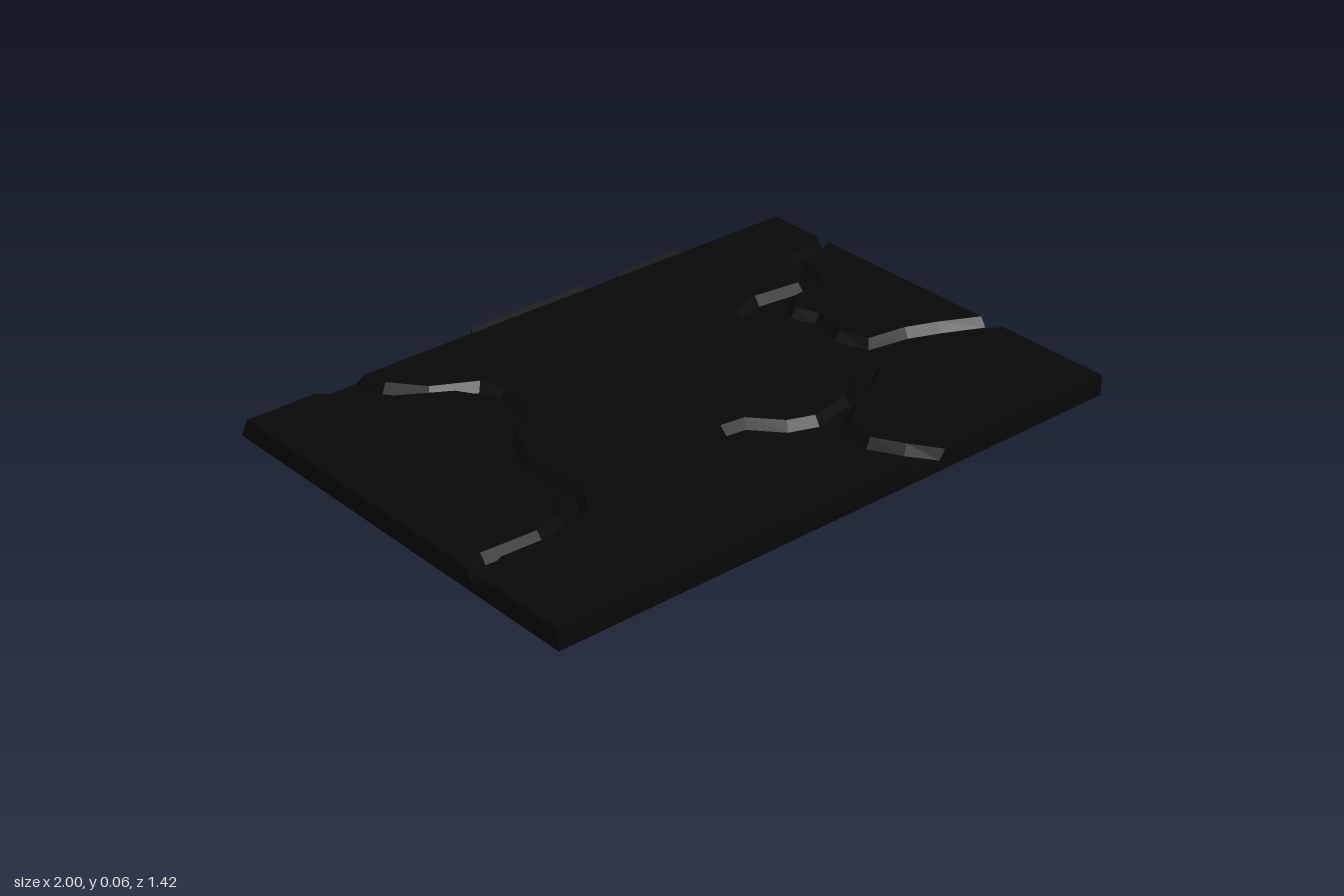
import * as THREE from 'three';

const W = 1, D = 0.71, FLOOR = 0.035, TOP = 0.065, BEVEL = 0.035, SLOPE = 0.02;
const material = new THREE.MeshStandardMaterial({ color: 0x080808, flatShading: true });

// Cliff lines as [x, z] points
const westCliff = [[-0.77, -D], [-0.64, -0.54], [-0.46, -0.43], [-0.41, -0.35], [-0.42, -0.26],
  [-0.55, -0.18], [-0.59, 0], [-0.6, 0.2], [-0.66, 0.28], [-0.75, 0.31], [-0.93, 0.3], [-W, 0.33]];
const centreWestCliff = [[-0.6, -D], [-0.58, -0.6], [-0.5, -0.5], [-0.37, -0.43], [-0.34, -0.35],
  [-0.35, -0.22], [-0.48, -0.12], [-0.53, 0], [-0.52, 0.22], [-0.58, 0.31], [-0.68, 0.36], [-0.9, 0.35], [-W, 0.4]];
const centreEastCliff = [[0.22, D], [0.2, 0.64], [0.08, 0.52], [-0.08, 0.42], [-0.1, 0.36], [-0.07, 0.26],
  [-0.02, 0.21], [0.06, 0.22], [0.14, 0.31], [0.22, 0.34], [0.36, 0.31], [0.46, 0.24], [0.48, 0.1],
  [0.53, 0], [0.53, -0.1], [0.51, -0.17], [0.44, -0.22], [0.47, -0.28], [0.58, -0.31], [0.74, -0.29],
  [0.79, -0.33], [0.8, -0.42], [0.9, -0.45], [W, -0.48]];
const eastCliff = [[W, -0.43], [0.93, -0.4], [0.85, -0.37], [0.84, -0.29], [0.79, -0.25], [0.66, -0.23],
  [0.62, -0.17], [0.65, -0.1], [0.62, 0.02], [0.65, 0.11], [0.78, 0.13], [0.88, 0.17], [W, 0.23]];
const southEastCliff = [[W, 0.32], [0.9, 0.26], [0.75, 0.24], [0.57, 0.25], [0.48, 0.31], [0.35, 0.37],
  [0.26, 0.43], [0.25, 0.53], [0.3, 0.62], [0.36, D]];

const onX = (p) => Math.abs(p.x) === W;
const onZ = (p) => Math.abs(p.y) === D;
const isBorder = (a, b) => (onX(a) && a.x === b.x) || (onZ(a) && a.y === b.y);

// Back rim leans inward as it rises
const place = (p, y) => [p.x, y, p.y === -D ? -D + BEVEL * y / TOP : p.y];

// Foot of a cliff spreads outward; the outer rim stays straight
function footOf(points, i) {
  const n = points.length, p = points[i];
  const normal = new THREE.Vector2();
  for (const [a, b] of [[points[(i + n - 1) % n], p], [p, points[(i + 1) % n]]]) {
    if (isBorder(a, b)) continue;
    normal.add(new THREE.Vector2(b.y - a.y, a.x - b.x).normalize());
  }
  if (onX(p)) normal.x = 0;
  if (onZ(p)) normal.y = 0;
  return normal.normalize().multiplyScalar(SLOPE).add(p);
}

// Solid between two heights, with a flat top, a flat bottom and sloped sides
function slab(name, outline, y0, y1) {
  const points = outline.map(([x, z]) => new THREE.Vector2(x, z));
  if (THREE.ShapeUtils.area(points) < 0) points.reverse();
  const n = points.length;
  const top = points.map((p) => place(p, y1));
  const foot = points.map((p, i) => place(footOf(points, i), y0));
  const index = [];
  for (const [a, b, c] of THREE.ShapeUtils.triangulateShape(points, [])) {
    index.push(a, c, b, a + n, b + n, c + n);
  }
  for (let i = 0; i < n; i++) {
    const j = (i + 1) % n;
    index.push(i, j, i + n, j, j + n, i + n);
  }
  const geometry = new THREE.BufferGeometry();
  geometry.setAttribute('position', new THREE.Float32BufferAttribute([...top, ...foot].flat(), 3));
  geometry.setIndex(index);
  const flat = geometry.toNonIndexed();
  flat.computeVertexNormals();
  const mesh = new THREE.Mesh(flat, material);
  mesh.name = name;
  return mesh;
}

// Thin upright lip on the back edge between two x positions
function backLip(x0, x1) {
  const shape = new THREE.Shape([[D, 0], [D, 0.06], [0.69, 0.01], [0.69, 0]].map(([u, v]) => new THREE.Vector2(u, v)));
  const geometry = new THREE.ExtrudeGeometry(shape, { depth: x1 - x0, bevelEnabled: false });
  geometry.rotateY(Math.PI / 2).translate(x0, 0, 0);
  const mesh = new THREE.Mesh(geometry, material);
  mesh.name = 'backLip';
  return mesh;
}

export function createModel() {
  const model = new THREE.Group();
  model.name = 'ravineTile';
  model.add(
    // Ravine floor
    slab('base', [[-W, -D], [W, -D], [W, D], [-W, D]], 0, FLOOR),
    // Raised ground between the ravines
    slab('westPlateau', [[-W, -D], ...westCliff], FLOOR, TOP),
    slab('centrePlateau', [...centreWestCliff, [-W, D], ...centreEastCliff, [W, -D]], FLOOR, TOP),
    slab('eastPlateau', eastCliff, FLOOR, TOP),
    slab('southEastPlateau', [...southEastCliff, [W, D]], FLOOR, TOP),
    // Lips on the back edge
    backLip(-0.19, 0.24),
    backLip(0.37, 0.62),
  );
  return model;
}
